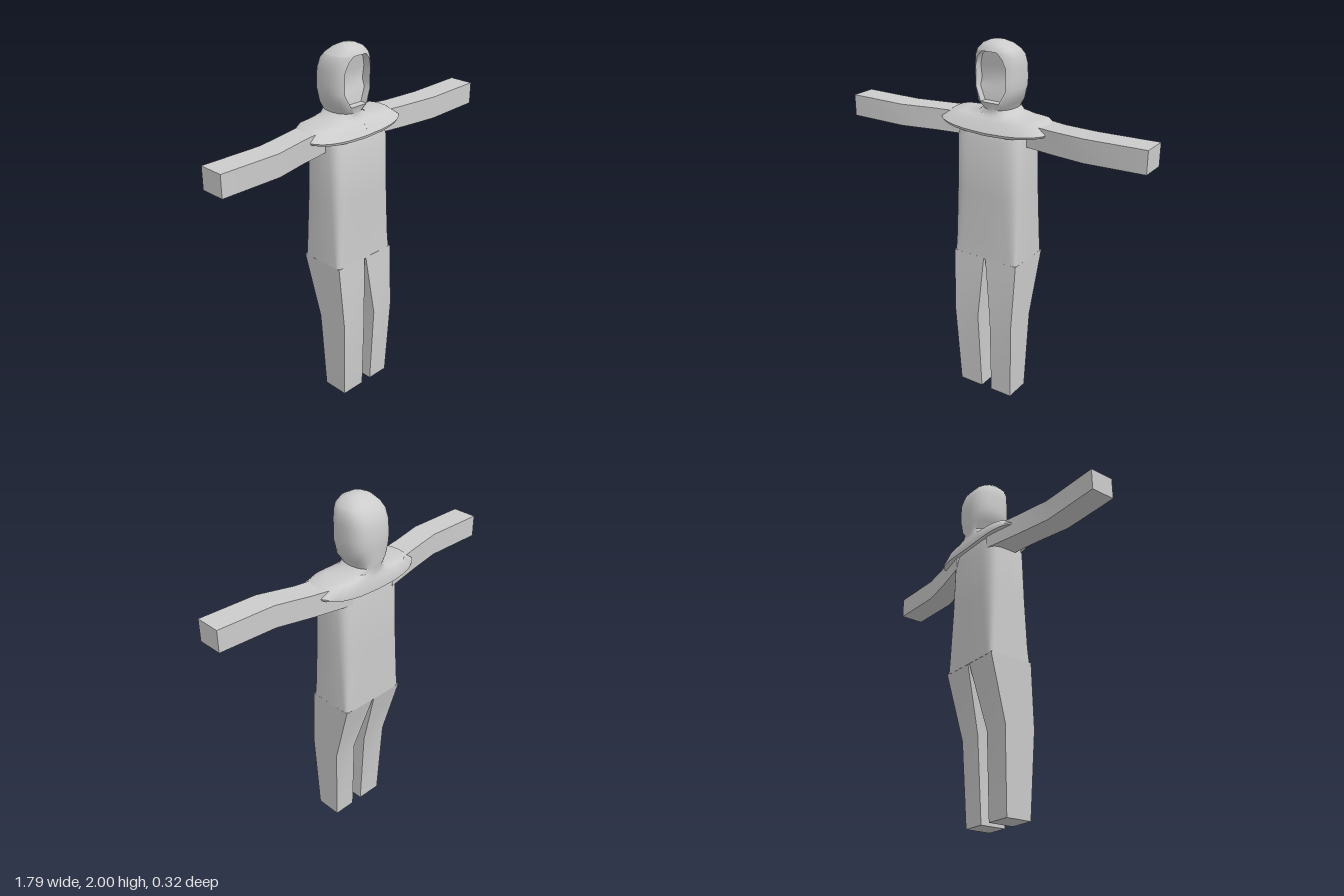
import * as THREE from 'three';
import { toCreasedNormals } from 'three/addons/utils/BufferGeometryUtils.js';

const material = new THREE.MeshStandardMaterial({ color: 0xcccccc, side: THREE.DoubleSide });

// Skin a list of equal-length rings of [x, y, z] and close both ends.
function loft(name, rings, crease = 0.6) {
  const n = rings[0].length;
  const pos = rings.flat(2);
  const index = [];
  for (let r = 0; r < rings.length - 1; r++) {
    for (let i = 0; i < n; i++) {
      const j = (i + 1) % n;
      const a = r * n + i, b = r * n + j, c = b + n, d = a + n;
      index.push(a, b, c, a, c, d);
    }
  }
  [0, rings.length - 1].forEach((r, end) => {
    const center = [0, 1, 2].map(k => rings[r].reduce((s, p) => s + p[k], 0) / n);
    const c = pos.length / 3;
    pos.push(...center);
    for (let i = 0; i < n; i++) {
      const a = r * n + i, b = r * n + (i + 1) % n;
      index.push(...(end ? [c, a, b] : [c, b, a]));
    }
  });
  const g = new THREE.BufferGeometry();
  g.setAttribute('position', new THREE.Float32BufferAttribute(pos, 3));
  g.setIndex(index);
  const mesh = new THREE.Mesh(toCreasedNormals(g, crease), material);
  mesh.name = name;
  return mesh;
}

// Horizontal rounded ring. e: 1 = ellipse, towards 0 = box. lift raises the sides.
// fw and depth push a strip of the front inward to form the face opening.
function ring({ y, hw, zf, zb, e = 0.75, lift = 0, fw = 0.02, depth = 0 }) {
  const steps = 32, cz = (zf + zb) / 2, hd = (zf - zb) / 2;
  const pow = v => Math.sign(v) * Math.abs(v) ** e;
  const t0 = Math.asin(Math.min(1, (fw / hw) ** (1 / e)));
  const pts = [];
  for (let i = 0; i <= steps; i++) {
    const t = t0 + (2 * Math.PI - 2 * t0) * i / steps;
    const x = hw * pow(Math.sin(t));
    pts.push([x, y + lift * (x / hw) ** 2, cz + hd * pow(Math.cos(t))]);
  }
  const z = pts[0][2] - depth;
  for (const x of [-fw, 0, fw]) pts.push([x, y, z]);
  return pts;
}

export function createModel() {
  const group = new THREE.Group();

  // Torso: boxy at the hips, rounder towards the chest
  group.add(loft('torso', [
    { y: 0.83, hw: 0.2, zf: 0.135, zb: -0.13, e: 0.12 },
    { y: 0.93, hw: 0.2, zf: 0.132, zb: -0.13, e: 0.2 },
    { y: 1.2, hw: 0.2, zf: 0.132, zb: -0.128, e: 0.35 },
    { y: 1.5, hw: 0.2, zf: 0.13, zb: -0.125, e: 0.45 },
    { y: 1.58, hw: 0.19, zf: 0.1, zb: -0.11, e: 0.55 },
  ].map(ring), 0.8));

  // Legs: square sections bent at the knee, [y, inner x, outer x, front z, back z]
  const leg = (name, sections) => loft(name, sections.map(([y, x0, x1, zf, zb]) =>
    [[x0, y, zf], [x1, y, zf], [x1, y, zb], [x0, y, zb]]), 0.3);
  group.add(leg('leftLeg', [
    [0, 0.045, 0.175, 0.14, -0.01],
    [0.47, 0.05, 0.19, 0.16, -0.03],
    [0.835, 0.005, 0.2, 0.135, -0.13],
  ]));
  group.add(leg('rightLeg', [
    [0, -0.165, -0.02, 0.14, -0.01],
    [0.47, -0.185, -0.03, 0.16, -0.03],
    [0.835, -0.2, -0.005, 0.135, -0.13],
  ]));

  // Arms: square sections, [x, bottom y, top y, front z, back z]
  const arm = (name, sections) => loft(name, sections.map(([x, y0, y1, zf, zb]) =>
    [[x, y0, zf], [x, y0, zb], [x, y1, zb], [x, y1, zf]]), 0.3);
  group.add(arm('leftArm', [
    [0.14, 1.48, 1.6, 0.03, -0.12],
    [0.36, 1.48, 1.6, 0.065, -0.07],
    [0.56, 1.49, 1.612, 0.11, -0.03],
    [0.89, 1.5, 1.62, 0.11, -0.03],
  ]));
  group.add(arm('rightArm', [
    [-0.9, 1.48, 1.6, 0.11, -0.03],
    [-0.56, 1.48, 1.6, 0.11, -0.03],
    [-0.36, 1.48, 1.6, 0.065, -0.07],
    [-0.14, 1.48, 1.6, 0.03, -0.12],
  ]));

  // Hood: cape hem, shoulders, neck and head with a recessed face
  group.add(loft('hood', [
    { y: 1.56, hw: 0.19, zf: 0.08, zb: -0.1, e: 0.6 },
    { y: 1.53, hw: 0.325, zf: 0.13, zb: -0.155, e: 0.62, lift: 0.03 },
    { y: 1.545, hw: 0.33, zf: 0.135, zb: -0.155, e: 0.62, lift: 0.025 },
    { y: 1.595, hw: 0.27, zf: 0.1, zb: -0.145, e: 0.65, lift: 0.02 },
    { y: 1.61, hw: 0.2, zf: 0.085, zb: -0.14, e: 0.75, lift: 0.007 },
    { y: 1.625, hw: 0.12, zf: 0.07, zb: -0.14, e: 0.85 },
    { y: 1.65, hw: 0.085, zf: 0.065, zb: -0.143, e: 0.85 },
    { y: 1.69, hw: 0.107, zf: 0.088, zb: -0.15, fw: 0.055 },
    { y: 1.691, hw: 0.108, zf: 0.088, zb: -0.15, fw: 0.055, depth: 0.04 },
    { y: 1.76, hw: 0.125, zf: 0.092, zb: -0.155, fw: 0.09, depth: 0.04 },
    { y: 1.8, hw: 0.126, zf: 0.092, zb: -0.156, fw: 0.09, depth: 0.055 },
    { y: 1.87, hw: 0.126, zf: 0.092, zb: -0.15, fw: 0.09, depth: 0.045 },
    { y: 1.92, hw: 0.12, zf: 0.092, zb: -0.132, fw: 0.073, depth: 0.045 },
    { y: 1.949, hw: 0.106, zf: 0.088, zb: -0.108, fw: 0.045, depth: 0.045 },
    { y: 1.95, hw: 0.105, zf: 0.088, zb: -0.107, fw: 0.045 },
    { y: 1.98, hw: 0.078, zf: 0.07, zb: -0.07, e: 0.85 },
    { y: 1.996, hw: 0.042, zf: 0.04, zb: -0.035, e: 1 },
    { y: 2, hw: 0.024, zf: 0.022, zb: -0.015, e: 1 },
  ].map(ring), 0.75));

  return group;
}
